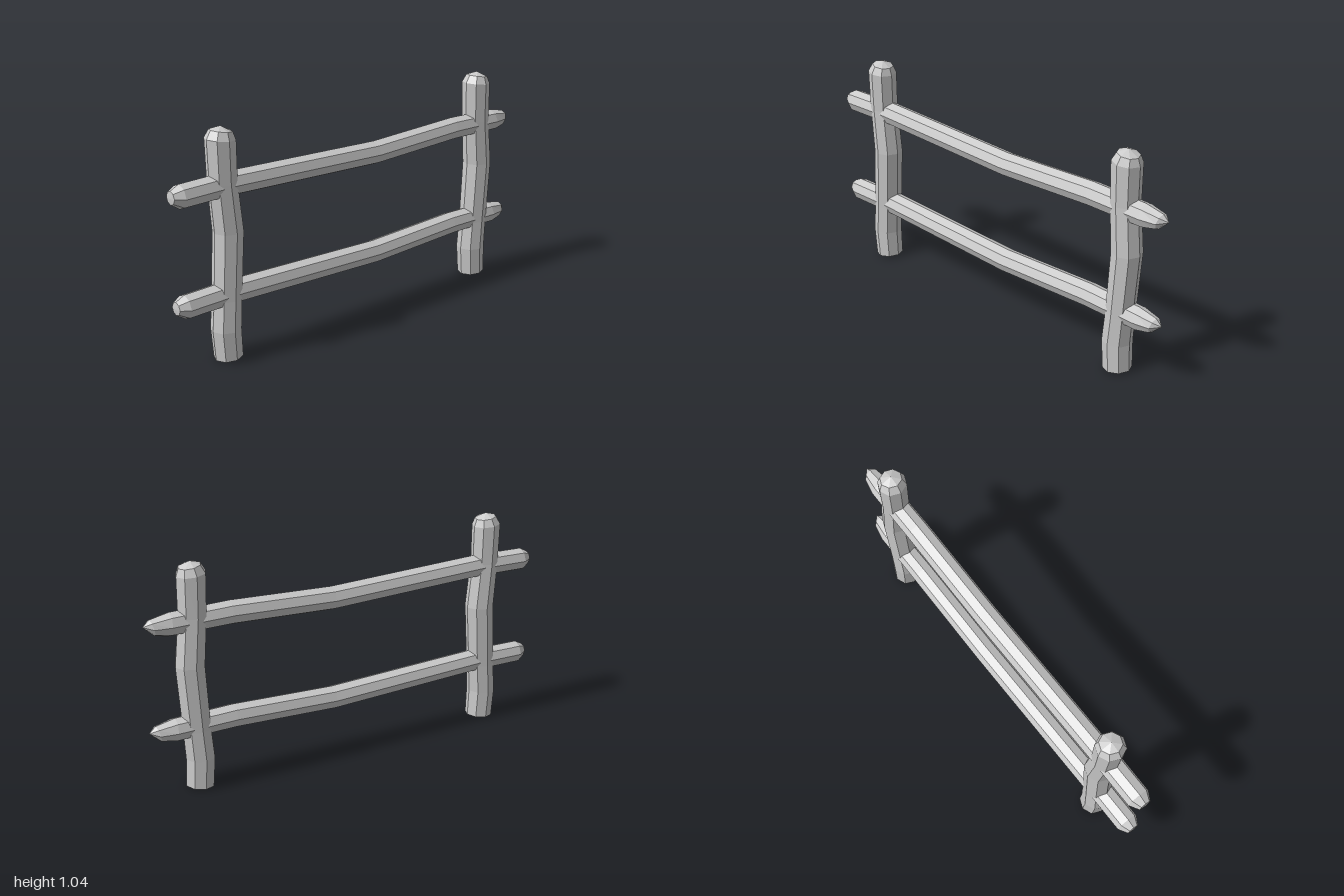
import * as THREE from 'three';

const SIDES = 8;
const material = new THREE.MeshStandardMaterial({ color: 0xcccccc, flatShading: true });

// Lofts an octagonal log through rings [along, offset, radius, tilt];
// upright logs run along y and bend in x, the others run along x and bend in y.
function log(name, rings, upright) {
  const pos = [], index = [];
  for (const [t, offset, r, tilt = 0] of rings) {
    for (let i = 0; i < SIDES; i++) {
      const a = (i / SIDES) * Math.PI * 2;
      const across = r * Math.cos(a);
      const along = t + tilt * across;
      const side = offset + across;
      pos.push(...(upright ? [side, along] : [along, side]), r * Math.sin(a));
    }
  }
  const tri = (a, b, c) => (upright ? index.push(a, b, c) : index.push(a, c, b));
  for (let k = 0; k < rings.length - 1; k++) {
    for (let i = 0; i < SIDES; i++) {
      const j = (i + 1) % SIDES;
      const a = k * SIDES + i, b = k * SIDES + j;
      const c = a + SIDES, d = b + SIDES;
      // Rings of zero radius close the ends as a fan
      if (rings[k + 1][2] > 0) tri(a, c, d);
      if (rings[k][2] > 0) tri(a, d, b);
    }
  }
  const indexed = new THREE.BufferGeometry();
  indexed.setAttribute('position', new THREE.Float32BufferAttribute(pos, 3));
  indexed.setIndex(index);
  const geometry = indexed.toNonIndexed();
  geometry.computeVertexNormals();
  const mesh = new THREE.Mesh(geometry, material);
  mesh.name = name;
  return mesh;
}

// Crooked post with a chamfered, slightly slanted top
const postRings = [
  [0.008, 0, 0], [0.006, 0, 0.065, 0.08], [0.14, -0.008, 0.068], [0.28, 0.002, 0.066],
  [0.58, 0.02, 0.068], [0.8, 0, 0.065], [0.985, -0.003, 0.067, -0.1],
  [1.02, 0.002, 0.05, -0.15], [1.04, 0, 0],
];

// Sagging rail, blunt at one end and pointed at the other
const railRings = [
  [-1, 0, 0], [-0.997, 0.002, 0.03], [-0.955, -0.001, 0.054], [-0.7, 0.004, 0.055],
  [0.1, -0.02, 0.055], [0.6, 0.002, 0.055], [0.88, -0.002, 0.053, -0.1],
  [0.955, -0.004, 0.037, 0.25], [0.995, 0.005, 0],
];

export function createModel() {
  const group = new THREE.Group();
  group.name = 'fence';

  // Two upright posts
  for (const [name, x] of [['rightPost', -0.743], ['leftPost', 0.772]]) {
    const post = log(name, postRings, true);
    post.position.x = x;
    group.add(post);
  }

  // Two rails running through the posts
  for (const [name, y] of [['upperRail', 0.781], ['lowerRail', 0.297]]) {
    const rail = log(name, railRings, false);
    rail.position.y = y;
    group.add(rail);
  }
  return group;
}
